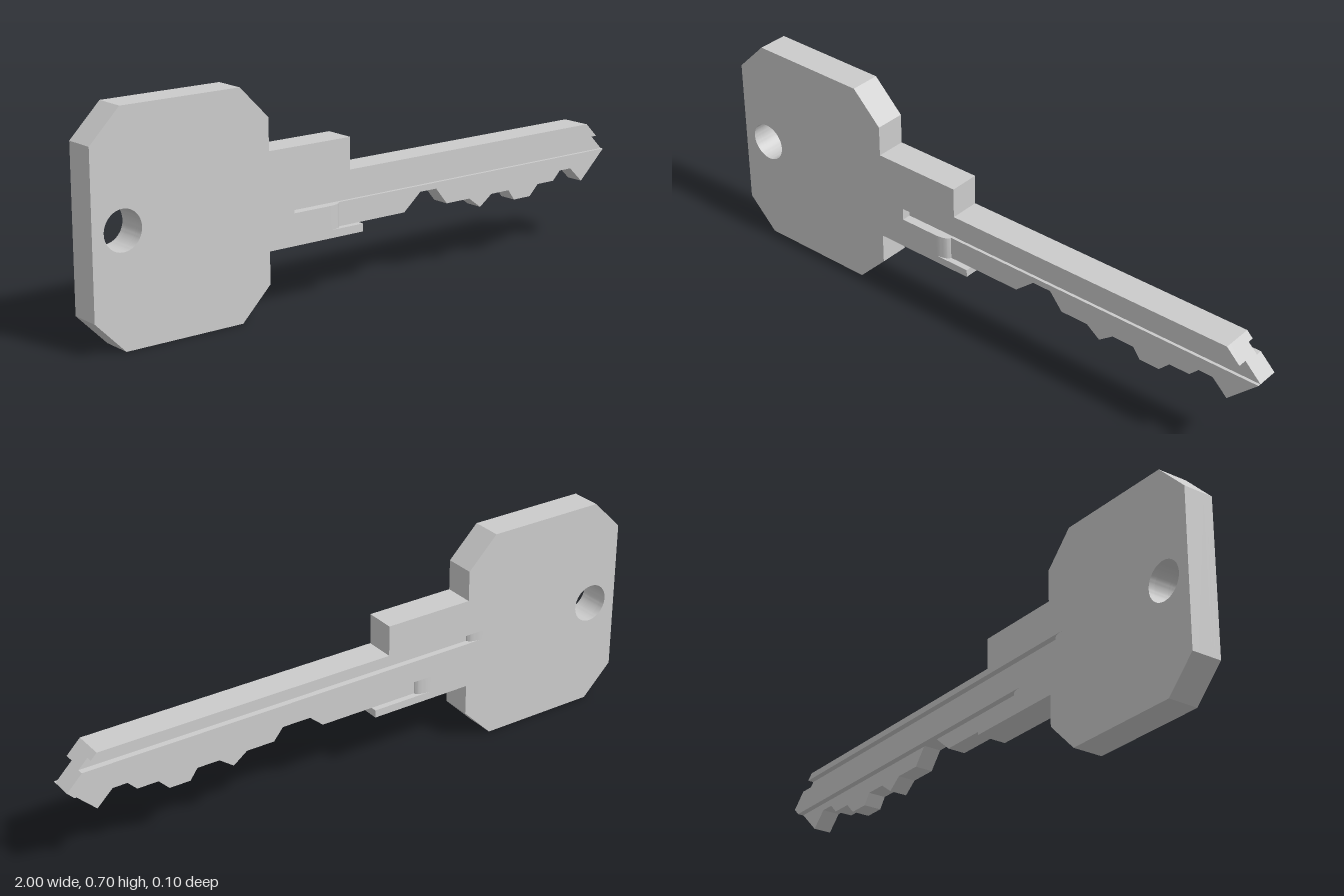
import * as THREE from 'three';
import { toCreasedNormals } from 'three/addons/utils/BufferGeometryUtils.js';

const material = new THREE.MeshStandardMaterial({ color: 0xcccccc });

// Bow and shoulder outline, split where the blade edge is inserted
const bowLower = [[-0.9, 0], [-0.5, 0], [-0.4, 0.1], [-0.4, 0.2], [-0.05, 0.2], [-0.05, 0.225]];
const bowUpper = [[0.9, 0.4], [-0.1, 0.4], [-0.1, 0.5], [-0.4, 0.5], [-0.4, 0.6],
  [-0.5, 0.7], [-0.9, 0.7], [-1, 0.6], [-1, 0.1]];

// Cut teeth along the underside, ending at the tip
const teeth = [[0.13, 0.225], [0.195, 0.28], [0.26, 0.28], [0.305, 0.225], [0.4, 0.225],
  [0.447, 0.19], [0.495, 0.225], [0.57, 0.225], [0.595, 0.19], [0.665, 0.19], [0.7, 0.225],
  [0.77, 0.225], [0.8, 0.255], [0.848, 0.255], [0.9, 0.205], [1, 0.3]];

// Groove in the front face, open at the tip
const frontGroove = [[-0.31, 0.3], [-0.31, 0.34], [0.945, 0.355]];

// Milled steps and groove in the back face
const backEdge = [[-0.26, 0.225], [-0.26, 0.278], [0.978, 0.278], [1, 0.3],
  [0.95, 0.35], [-0.46, 0.35], [-0.46, 0.38], [0.92, 0.38]];

const toShape = (points) => new THREE.Shape(points.map(([x, y]) => new THREE.Vector2(x, y)));

function extrude(shape, depth) {
  return new THREE.ExtrudeGeometry(shape, { depth, bevelEnabled: false, curveSegments: 32 });
}

function addMesh(group, name, geometry) {
  const mesh = new THREE.Mesh(toCreasedNormals(geometry, 0.5), material);
  mesh.name = name;
  group.add(mesh);
}

// One slice of the key between two depths, with the keyring hole
function addLayer(group, name, bladeEdge, z0, z1) {
  const shape = toShape([...bowLower, ...bladeEdge, ...bowUpper]);
  shape.holes.push(new THREE.Path().absarc(-0.9, 0.35, 0.062, 0, Math.PI * 2, true));
  addMesh(group, name, extrude(shape, z1 - z0).translate(0, 0, z0));
}

// Rounded end of a milled cut: a quarter ellipse in x and z, raised along y
function addCutEnd(group, name, x, y0, y1, side) {
  const length = 0.05, inner = 0.03 * side, rise = 0.02 * side;
  const points = [[x, -inner]];
  for (let i = 0; i <= 10; i++) {
    const a = (i / 10) * Math.PI / 2;
    points.push([x + length * Math.cos(a), -(inner + rise * Math.sin(a))]);
  }
  addMesh(group, name, extrude(toShape(points), y1 - y0).rotateX(-Math.PI / 2).translate(0, y0, 0));
}

export function createModel() {
  const key = new THREE.Group();
  key.name = 'key';

  // Slices from back to front
  addLayer(key, 'backFace', backEdge, -0.05, -0.03);
  addLayer(key, 'core', teeth, -0.03, 0.02);
  addLayer(key, 'grooveLayer', [...teeth, ...frontGroove], 0.02, 0.03);
  addLayer(key, 'frontFace', [[-0.18, 0.225], [-0.18, 0.3], ...frontGroove], 0.03, 0.05);

  // Rounded run-outs of the cuts
  addCutEnd(key, 'frontCutEnd', -0.18, 0.225, 0.3, 1);
  addCutEnd(key, 'backLowerCutEnd', -0.26, 0.225, 0.278, -1);
  addCutEnd(key, 'backUpperCutEnd', -0.46, 0.35, 0.38, -1);

  return key;
}
